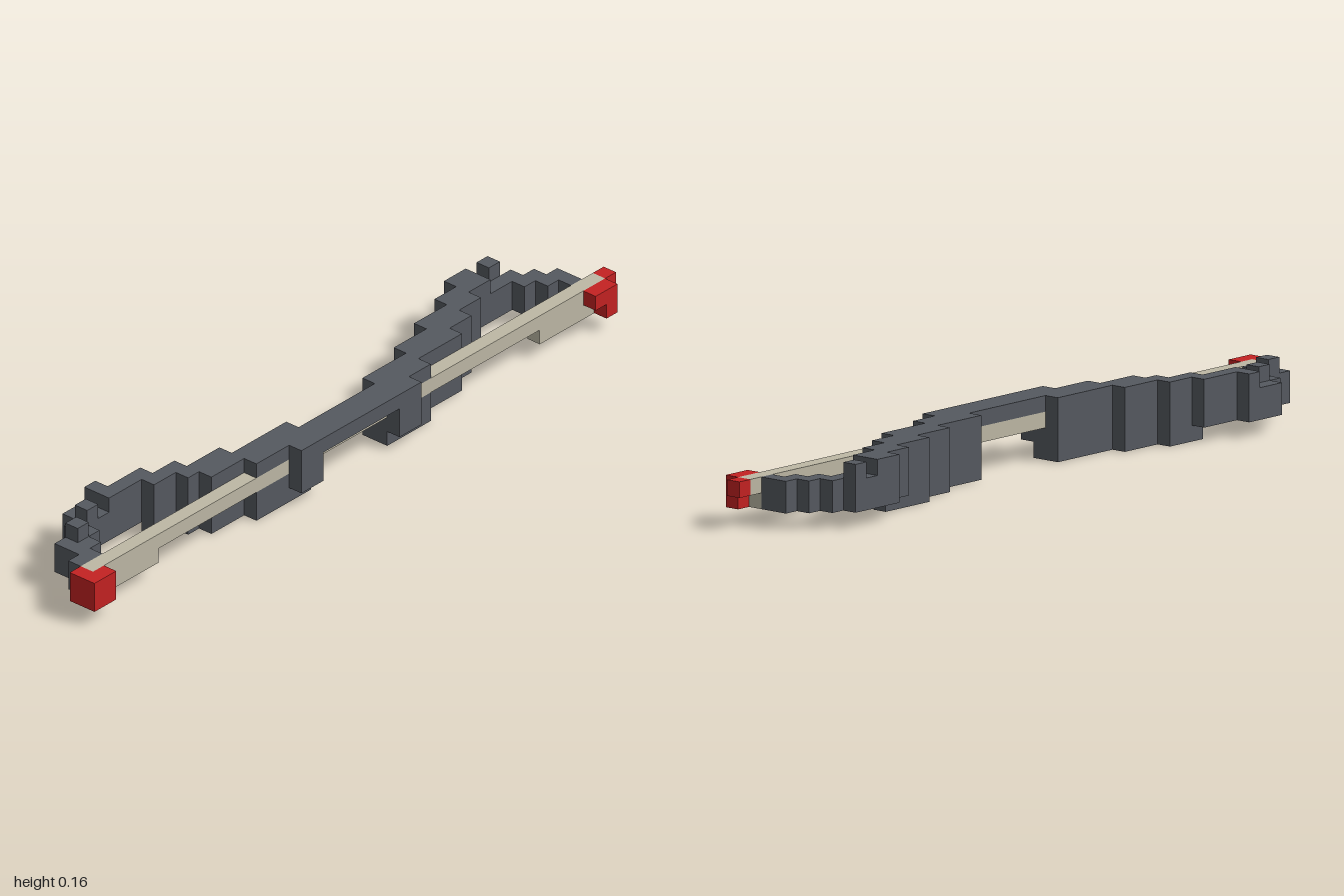
import * as THREE from 'three';

// The model sits on a grid of cubes: 7 wide, 4 high, 49 long
const U = 2 / 49;

export function createModel() {
  const group = new THREE.Group();
  const mat = (name, color) => {
    const m = new THREE.MeshStandardMaterial({ color });
    m.name = name;
    return m;
  };
  const grey = mat('darkGrey', 0x555960);
  const cream = mat('cream', 0xbdb8a5);
  const red = mat('red', 0xc42222);

  // One box covering inclusive cell ranges in x, y and z
  function block(name, material, [x0, x1], [y0, y1], [z0, z1]) {
    const w = x1 - x0 + 1, h = y1 - y0 + 1, d = z1 - z0 + 1;
    const mesh = new THREE.Mesh(new THREE.BoxGeometry(w * U, h * U, d * U), material);
    mesh.position.set((x0 + w / 2 - 3.5) * U, (y0 + h / 2) * U, (z0 + d / 2 - 24.5) * U);
    mesh.name = name;
    group.add(mesh);
  }

  // Grip: a bridge on top, with posts at both ends
  block('gripTop', grey, [5, 5], [3, 3], [17, 32]);
  block('gripRidge', grey, [6, 6], [3, 3], [19, 29]);
  block('gripPostBack', grey, [6, 6], [1, 2], [19, 20]);
  block('gripPostFront', grey, [6, 6], [1, 2], [28, 29]);
  block('gripFootBack', grey, [5, 5], [0, 1], [17, 20]);
  block('gripFootFront', grey, [5, 5], [0, 1], [28, 32]);

  // Stepped limbs: [column, lowest layer, top layer, first z, last z]
  const backLimb = [
    [4, 0, 3, 13, 20], [3, 0, 3, 11, 16], [2, 0, 3, 10, 13], [2, 1, 3, 9, 9],
    [1, 1, 3, 7, 10], [0, 1, 3, 7, 8],
    [0, 1, 2, 5, 6], [1, 1, 2, 4, 6], [2, 1, 2, 3, 4], [3, 1, 2, 2, 3], [4, 1, 2, 2, 2],
    [0, 3, 3, 5, 5],
  ];
  const frontLimb = [
    [4, 0, 3, 28, 35], [3, 0, 3, 33, 36], [2, 0, 3, 36, 38],
    [1, 1, 3, 38, 41], [0, 1, 3, 41, 41],
    [0, 1, 2, 42, 43], [1, 1, 2, 42, 44], [2, 1, 2, 44, 46], [3, 1, 2, 45, 46], [4, 1, 2, 46, 47],
    [1, 3, 3, 43, 43], [2, 3, 3, 45, 45],
  ];
  for (const [name, limb] of [['backLimb', backLimb], ['frontLimb', frontLimb]])
    for (const [x, y0, y1, z0, z1] of limb) block(name, grey, [x, x], [y0, y1], [z0, z1]);

  // Straight string, deeper at both ends
  block('string', cream, [5, 5], [2, 2], [1, 47]);
  block('stringEndBack', cream, [5, 5], [1, 1], [2, 6]);
  block('stringEndFront', cream, [5, 5], [1, 1], [42, 47]);

  // Red tips
  block('frontTip', red, [5, 6], [1, 2], [48, 48]);
  block('frontTipSide', red, [6, 6], [1, 2], [47, 47]);
  block('backTip', red, [5, 5], [2, 2], [0, 0]);
  block('backTipSide', red, [6, 6], [2, 2], [1, 2]);
  block('backTipLower', red, [6, 6], [1, 1], [1, 1]);

  return group;
}
